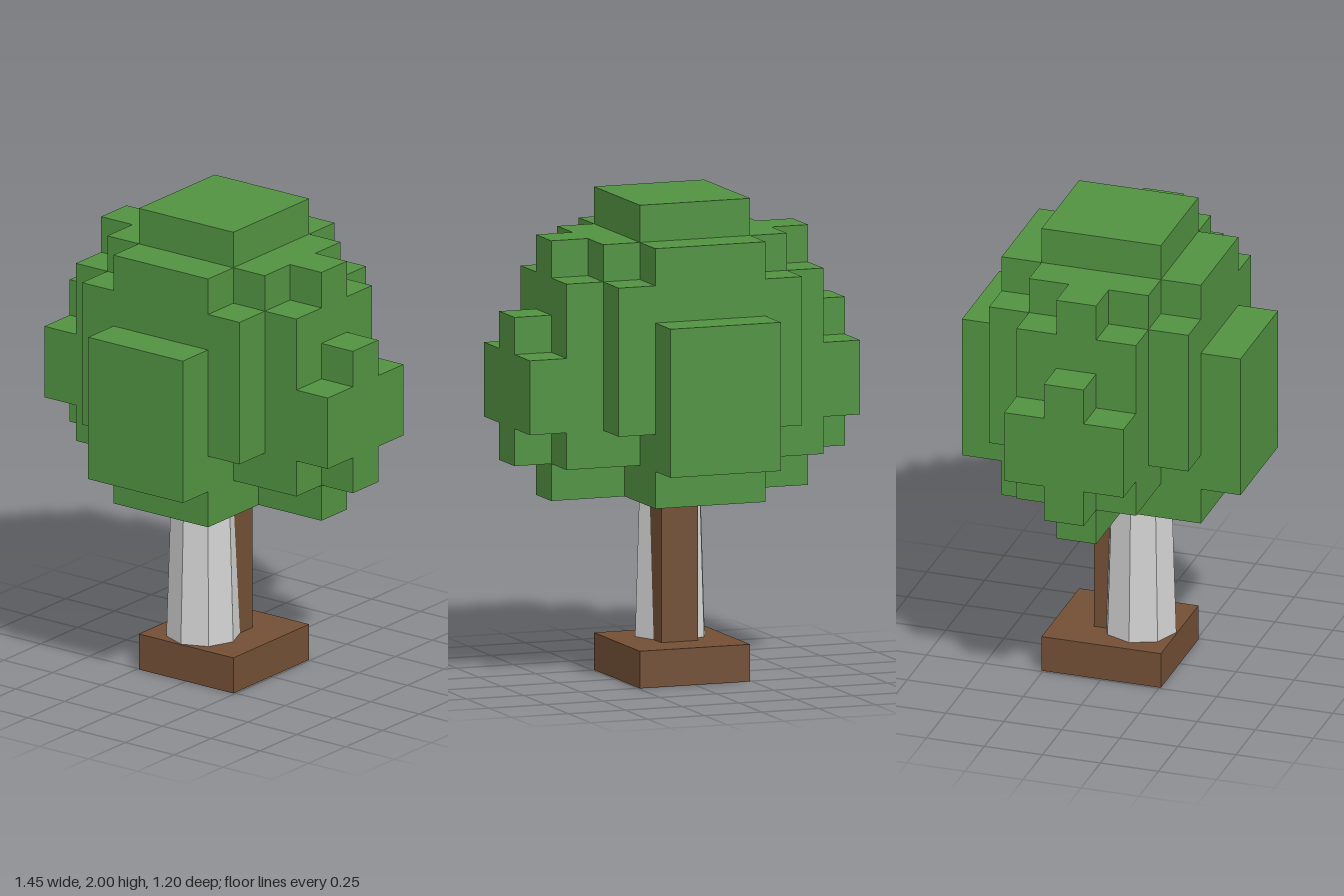
import * as THREE from 'three';

export function createModel() {
  const group = new THREE.Group();
  const material = (name, color) => {
    const m = new THREE.MeshStandardMaterial({ color });
    m.name = name;
    return m;
  };
  const leafGreen = material('leaf green', 0x529241);
  const barkBrown = material('bark brown', 0x724f35);
  const stoneGrey = material('pale grey', 0xd2d2d2);
  stoneGrey.flatShading = true;

  // Box centred on x = z = 0, given its half sizes and height range
  const block = (name, mat, hx, hz, y0, y1, parent = group) => {
    const mesh = new THREE.Mesh(new THREE.BoxGeometry(2 * hx, y1 - y0, 2 * hz), mat);
    mesh.position.y = (y0 + y1) / 2;
    mesh.name = name;
    parent.add(mesh);
  };

  // Base and square trunk
  block('base', barkBrown, 0.242, 0.257, 0, 0.154);
  block('trunk', barkBrown, 0.081, 0.086, 0.1, 1);

  // Tapered eight-sided post in front of the trunk
  const post = new THREE.Mesh(new THREE.CylinderGeometry(0.127, 0.157, 0.96, 8), stoneGrey);
  post.position.set(-0.03, 0.5, 0.1);
  post.name = 'greyPost';
  group.add(post);

  // Blocky crown: overlapping boxes on a grid of cells
  const crown = new THREE.Group();
  crown.name = 'crown';
  group.add(crown);
  const [x1, x2, x3, x4, x5] = [0.081, 0.242, 0.403, 0.564, 0.725].map((v) => v);
  const [z1, z2, z3, z4] = [0.086, 0.257, 0.429, 0.6];
  const row = (n) => (n * 2) / 13; // height of cell row n
  [
    ['crownCore', x2, z3, 5, 12],
    ['frontAndBackSlabs', x2, z4, 6, 10],
    ['cornerColumns', x3, z3, 7, 11],
    ['crownSides', x4, z2, 6, 11],
    ['sideBars', x5, z2, 7, 9],
    ['sidePosts', x5, z1, 6, 10],
    ['sideRidges', x4, z1, 5, 12],
    ['shoulders', x3, z2, 6, 12],
    ['topCap', x2, z2, 11, 13],
  ].forEach(([name, hx, hz, r0, r1]) => block(name, leafGreen, hx, hz, row(r0), row(r1), crown));

  return group;
}
